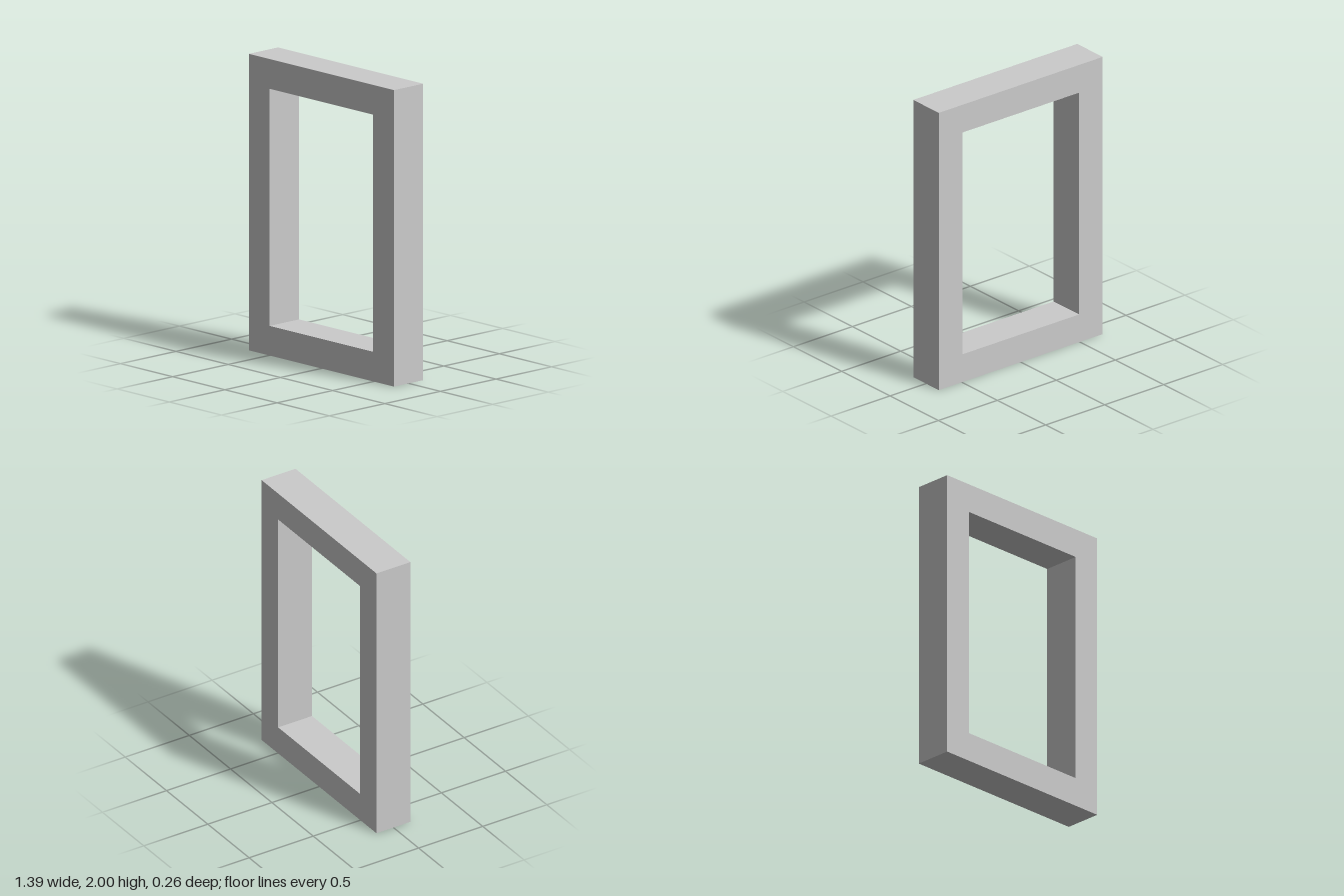
import * as THREE from 'three';

const WIDTH = 1.39, HEIGHT = 2, DEPTH = 0.264, BORDER = 0.2;

// Corners of a rectangle centred on x, inset from the outer edge
function rectangle(inset) {
  const x = WIDTH / 2 - inset;
  const bottom = inset, top = HEIGHT - inset;
  return [
    new THREE.Vector2(-x, bottom),
    new THREE.Vector2(x, bottom),
    new THREE.Vector2(x, top),
    new THREE.Vector2(-x, top),
  ];
}

export function createModel() {
  const group = new THREE.Group();
  group.name = 'rectangularFrame';

  // Square-edged frame with an open middle
  const outline = new THREE.Shape(rectangle(0));
  outline.holes.push(new THREE.Path(rectangle(BORDER).reverse()));
  const geometry = new THREE.ExtrudeGeometry(outline, { depth: DEPTH, bevelEnabled: false });
  geometry.translate(0, 0, -DEPTH / 2);

  const frame = new THREE.Mesh(
    geometry,
    new THREE.MeshStandardMaterial({ color: 0xcccccc, flatShading: true })
  );
  frame.name = 'frame';
  group.add(frame);
  return group;
}
